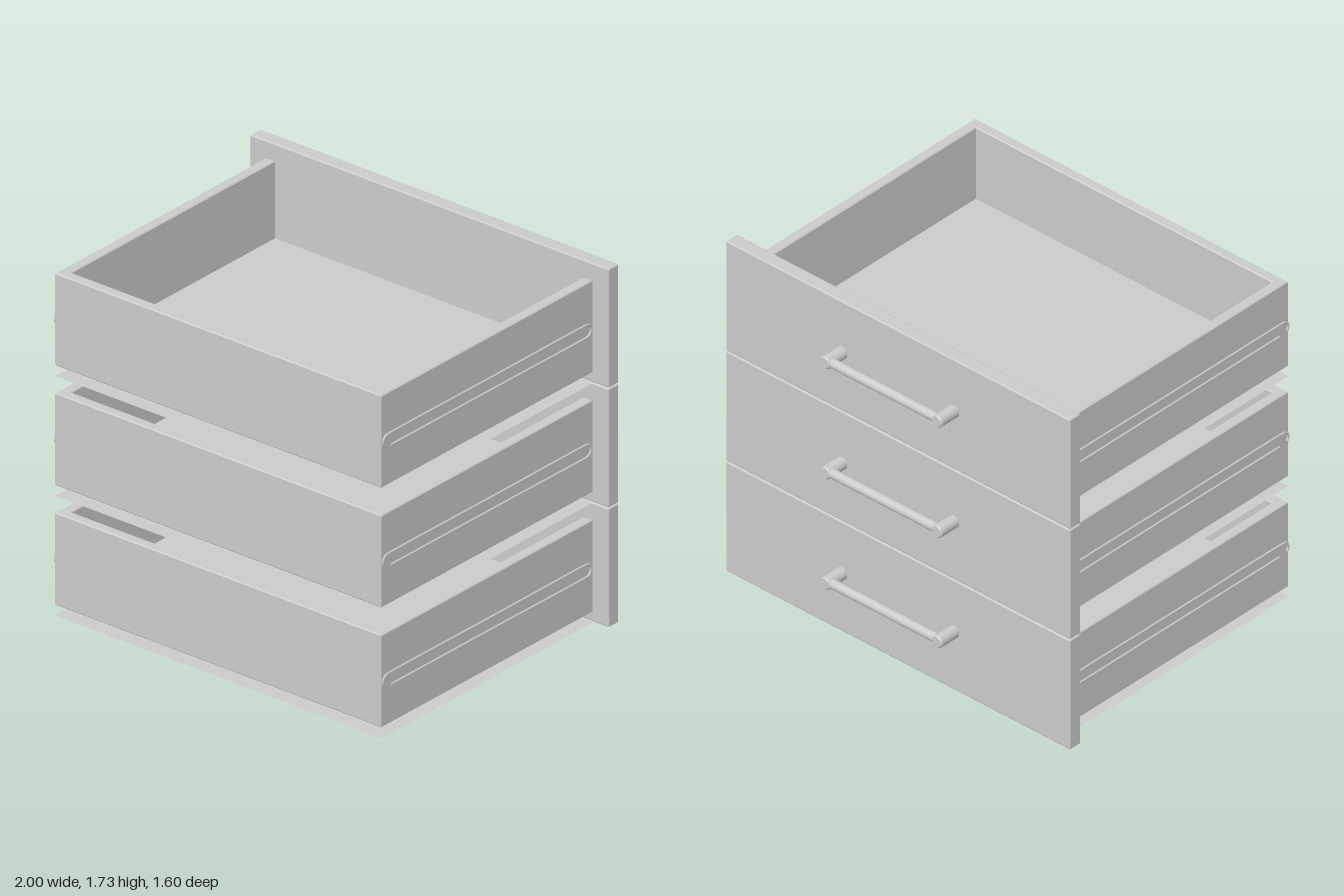
import * as THREE from 'three';
import { RoundedBoxGeometry } from 'three/addons/geometries/RoundedBoxGeometry.js';

const material = new THREE.MeshStandardMaterial({ color: 0xcccccc });
const thinMaterial = new THREE.MeshStandardMaterial({ color: 0xcccccc, side: THREE.DoubleSide });

const W = 0.91, BACK = 0.8, FRONT = -0.62, WALL = 0.05, PITCH = 0.577;

function add(parent, name, geometry, x = 0, y = 0, z = 0, mat = material) {
  const mesh = new THREE.Mesh(geometry, mat);
  mesh.name = name;
  mesh.position.set(x, y, z);
  parent.add(mesh);
  return mesh;
}

// U-shaped walls, open towards the front panel, with softened top edges
function wallsGeometry() {
  const i = W - WALL;
  const shape = new THREE.Shape([
    [-W, -FRONT], [-W, -BACK], [W, -BACK], [W, -FRONT],
    [i, -FRONT], [i, -BACK + WALL], [-i, -BACK + WALL], [-i, -FRONT],
  ].map(([x, y]) => new THREE.Vector2(x, y)));
  const bevel = 0.005;
  return new THREE.ExtrudeGeometry(shape, {
    depth: 0.446 - 2 * bevel, bevelEnabled: true, bevelSize: bevel,
    bevelThickness: bevel, bevelOffset: -bevel, bevelSegments: 1,
  }).translate(0, 0, bevel).rotateX(-Math.PI / 2);
}

// Thin slide wire: a long loop that stops short of closing at the back
function railGeometry() {
  const r = 0.03, y = 0.268, zFront = -0.575, zBack = 0.765;
  const pts = [];
  const arc = (z, from, to) => {
    for (let k = 0; k <= 10; k++) {
      const a = THREE.MathUtils.degToRad(from + (to - from) * k / 10);
      pts.push(new THREE.Vector3(0, y + r * Math.sin(a), z + r * Math.cos(a)));
    }
  };
  pts.push(new THREE.Vector3(0, y - r, 0.74), new THREE.Vector3(0, y - r, 0));
  arc(zFront, 270, 90);
  pts.push(new THREE.Vector3(0, y + r, 0));
  arc(zBack, 90, -45);
  const path = new THREE.CatmullRomCurve3(pts, false, 'centripetal');
  return new THREE.TubeGeometry(path, 240, 0.006, 6);
}

// Handle post: cylinder with a chamfered outer end, pointing to -z
function postGeometry() {
  const profile = [[0, 0], [0.031, 0], [0.031, 0.108], [0.025, 0.114], [0, 0.114]];
  // each section gets its own lathe so the edges stay sharp
  return profile.slice(1).map((p, k) =>
    new THREE.LatheGeometry([profile[k], p].map(([x, y]) => new THREE.Vector2(x, y)), 24)
      .rotateX(-Math.PI / 2));
}

function createHandle() {
  const handle = new THREE.Group();
  handle.name = 'handle';
  const sections = postGeometry();
  for (const side of [-1, 1]) {
    const post = new THREE.Group();
    post.name = 'handlePost';
    post.position.set(side * 0.325, 0, 0);
    sections.forEach((g) => add(post, 'postSection', g));
    handle.add(post);
  }
  add(handle, 'handleBar',
    new THREE.CylinderGeometry(0.023, 0.023, 0.64, 24).rotateZ(Math.PI / 2), 0, 0, -0.09);
  return handle;
}

function createDrawer() {
  const drawer = new THREE.Group();
  const depth = BACK - FRONT, midZ = (BACK + FRONT) / 2;

  add(drawer, 'frontPanel', new RoundedBoxGeometry(2, 0.573, 0.07, 2, 0.008), 0, 0.291, -0.655);
  add(drawer, 'walls', wallsGeometry(), 0, 0.05, 0);
  add(drawer, 'floor',
    new THREE.BoxGeometry(2 * (W - WALL), 0.02, depth - WALL), 0, 0.113, midZ - WALL / 2);
  // paper-thin sheet hanging just below the walls
  add(drawer, 'bottomSheet',
    new THREE.PlaneGeometry(2 * W, depth).rotateX(Math.PI / 2), 0, 0, midZ, thinMaterial);

  const rail = railGeometry();
  for (const side of [-1, 1]) {
    add(drawer, side > 0 ? 'leftRail' : 'rightRail', rail, side * 0.914, 0, 0, thinMaterial);
  }

  const handle = createHandle();
  handle.position.set(0, 0.31, -0.686);
  drawer.add(handle);
  return drawer;
}

export function createModel() {
  const model = new THREE.Group();
  model.name = 'drawerStack';
  ['bottomDrawer', 'middleDrawer', 'topDrawer'].forEach((name, k) => {
    const drawer = createDrawer();
    drawer.name = name;
    drawer.position.y = k * PITCH;
    model.add(drawer);
  });
  return model;
}
